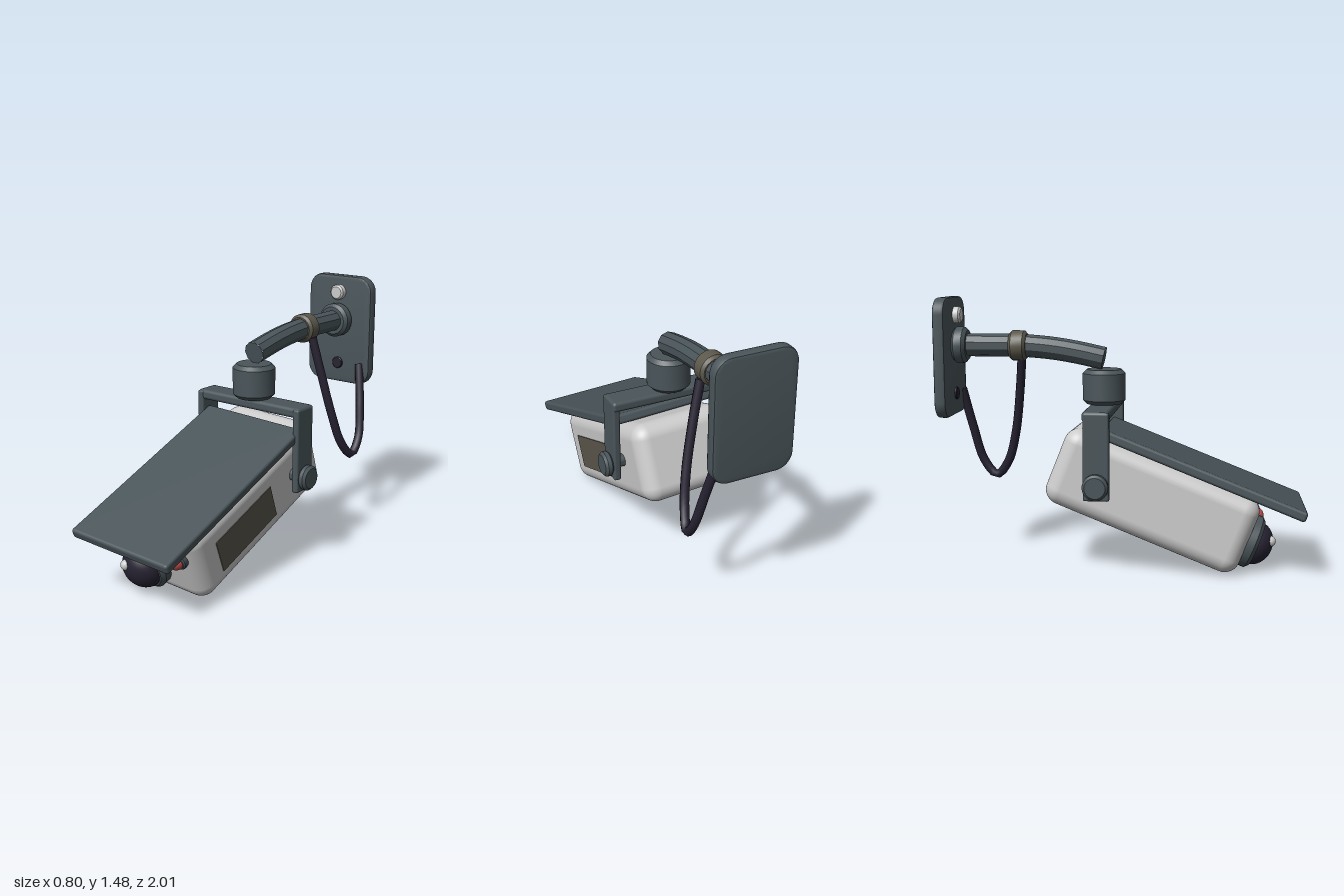
import * as THREE from 'three';
import { RoundedBoxGeometry } from 'three/addons/geometries/RoundedBoxGeometry.js';
import { toCreasedNormals } from 'three/addons/utils/BufferGeometryUtils.js';

const mat = (color, flatShading = false) => new THREE.MeshStandardMaterial({ color, flatShading });
const shell = mat(0xcccccc);
const steel = mat(0x4a555a);
const steelFlat = mat(0x4a555a, true);
const olive = mat(0x5c584c);
const dark = mat(0x272333);
const red = mat(0xc4504f);

function add(parent, name, geometry, material, x = 0, y = 0, z = 0) {
  const mesh = new THREE.Mesh(geometry, material);
  mesh.name = name;
  mesh.position.set(x, y, z);
  parent.add(mesh);
  return mesh;
}

// Disc with bevelled rims, centred, its axis along 'x', 'y' or 'z'
function disc(r, h, bevel, axis = 'z', sides = 24) {
  const p = [[0, -h / 2], [r - bevel, -h / 2], [r, -h / 2 + bevel], [r, h / 2 - bevel], [r - bevel, h / 2], [0, h / 2]];
  const g = new THREE.LatheGeometry(p.map(([a, b]) => new THREE.Vector2(a, b)), sides);
  if (axis === 'z') g.rotateX(Math.PI / 2);
  if (axis === 'x') g.rotateZ(-Math.PI / 2);
  return toCreasedNormals(g, 0.6);
}

// Wall plate: rounded rectangle with a small bevel, back face at z = 0
function plateGeometry(w, h, depth, r, bevel) {
  const x = w / 2 - bevel, y = h / 2 - bevel;
  const s = new THREE.Shape();
  s.absarc(x - r, y - r, r, 0, Math.PI / 2);
  s.absarc(-x + r, y - r, r, Math.PI / 2, Math.PI);
  s.absarc(-x + r, -y + r, r, Math.PI, Math.PI * 1.5);
  s.absarc(x - r, -y + r, r, Math.PI * 1.5, Math.PI * 2);
  const g = new THREE.ExtrudeGeometry(s, {
    depth: depth - 2 * bevel, bevelSize: bevel, bevelThickness: bevel, bevelSegments: 2, curveSegments: 5,
  });
  g.translate(0, 0, bevel);
  return toCreasedNormals(g, 0.6);
}

// Tube along points, closed with a disc at each end
function cappedTube(parent, name, points, r, steps, sides, material) {
  const curve = new THREE.CatmullRomCurve3(points.map((p) => new THREE.Vector3(...p)));
  const group = new THREE.Group();
  group.name = name;
  add(group, name + 'Tube', new THREE.TubeGeometry(curve, steps, r, sides), material);
  for (const t of [0, 1]) {
    const end = curve.getPointAt(t);
    const cap = add(group, name + 'Cap', new THREE.CircleGeometry(r, sides), material, end.x, end.y, end.z);
    cap.lookAt(end.clone().addScaledVector(curve.getTangentAt(t), t ? 1 : -1));
  }
  parent.add(group);
}

export function createModel() {
  const model = new THREE.Group();
  model.name = 'securityCamera';

  // Wall mount
  add(model, 'wallPlate', plateGeometry(0.44, 0.655, 0.065, 0.075, 0.015), steel, 0, 1.147, -1);
  add(model, 'upperScrew', disc(0.045, 0.05, 0.01), shell, 0, 1.375, -0.92);
  add(model, 'lowerScrew', disc(0.035, 0.02, 0.004), dark, 0, 0.94, -0.934);
  add(model, 'armFlange', disc(0.1, 0.08, 0.018), steel, 0, 1.21, -0.9);

  // Support arm, its collar and the hanging cable
  cappedTube(model, 'arm', [
    [0, 1.21, -0.94], [0, 1.21, -0.75], [0, 1.21, -0.57], [0, 1.198, -0.4], [0, 1.175, -0.25], [0, 1.143, -0.1],
  ], 0.063, 16, 10, steelFlat);
  add(model, 'armCollar', disc(0.083, 0.095, 0.015), olive, 0, 1.21, -0.575);
  cappedTube(model, 'cable', [
    [0.06, 1.16, -0.57], [0.11, 0.95, -0.595], [0.165, 0.7, -0.635], [0.2, 0.52, -0.69], [0.225, 0.435, -0.765],
    [0.225, 0.52, -0.84], [0.195, 0.72, -0.893], [0.15, 0.95, -0.94],
  ], 0.025, 40, 8, dark);

  // Swivel and yoke
  add(model, 'swivel', disc(0.118, 0.19, 0.022, 'y', 32), steel, 0, 0.99, -0.1);
  add(model, 'yokeBar', new RoundedBoxGeometry(0.71, 0.056, 0.14, 2, 0.018), steel, 0, 0.867, -0.105);
  for (const side of [1, -1]) {
    const name = side > 0 ? 'left' : 'right';
    add(model, name + 'YokeArm', new RoundedBoxGeometry(0.04, 0.47, 0.14, 2, 0.012), steel, side * 0.335, 0.655, -0.1);
    add(model, name + 'Knob', disc(0.07, 0.05, 0.014, 'x'), steel, side * 0.375, 0.5, -0.1);
    add(model, name + 'PivotPin', disc(0.035, 0.1, 0.004, 'x'), steel, side * 0.31, 0.5, -0.1);
  }

  // Tilted head, turning about the knobs
  const head = new THREE.Group();
  head.name = 'head';
  head.position.set(0, 0.5, -0.1);
  head.rotation.set(0.375, 0, -0.05);
  model.add(head);
  add(head, 'body', new RoundedBoxGeometry(0.55, 0.435, 1.12, 5, 0.085), shell, 0, 0, 0.3);
  add(head, 'visor', new RoundedBoxGeometry(0.648, 0.055, 1.17, 2, 0.016), steel, 0, 0.248, 0.495);
  add(head, 'sidePanel', new THREE.BoxGeometry(0.012, 0.195, 0.485), olive, 0.274, -0.018, 0.446);

  // Lens and indicator light
  add(head, 'lensHousing', disc(0.148, 0.09, 0.02, 'z', 32), steel, -0.069, -0.024, 0.875);
  const lens = add(head, 'lens', new THREE.SphereGeometry(0.12, 28, 18), dark, -0.069, -0.026, 0.905);
  lens.scale.z = 0.85;
  add(head, 'lensGlint', new THREE.SphereGeometry(0.029, 14, 10), shell, -0.113, 0.025, 0.979);
  add(head, 'lightRing', disc(0.057, 0.04, 0.008), steel, 0.167, 0.078, 0.865);
  add(head, 'indicatorLight', new THREE.SphereGeometry(0.046, 18, 12), red, 0.167, 0.078, 0.88);

  return model;
}
